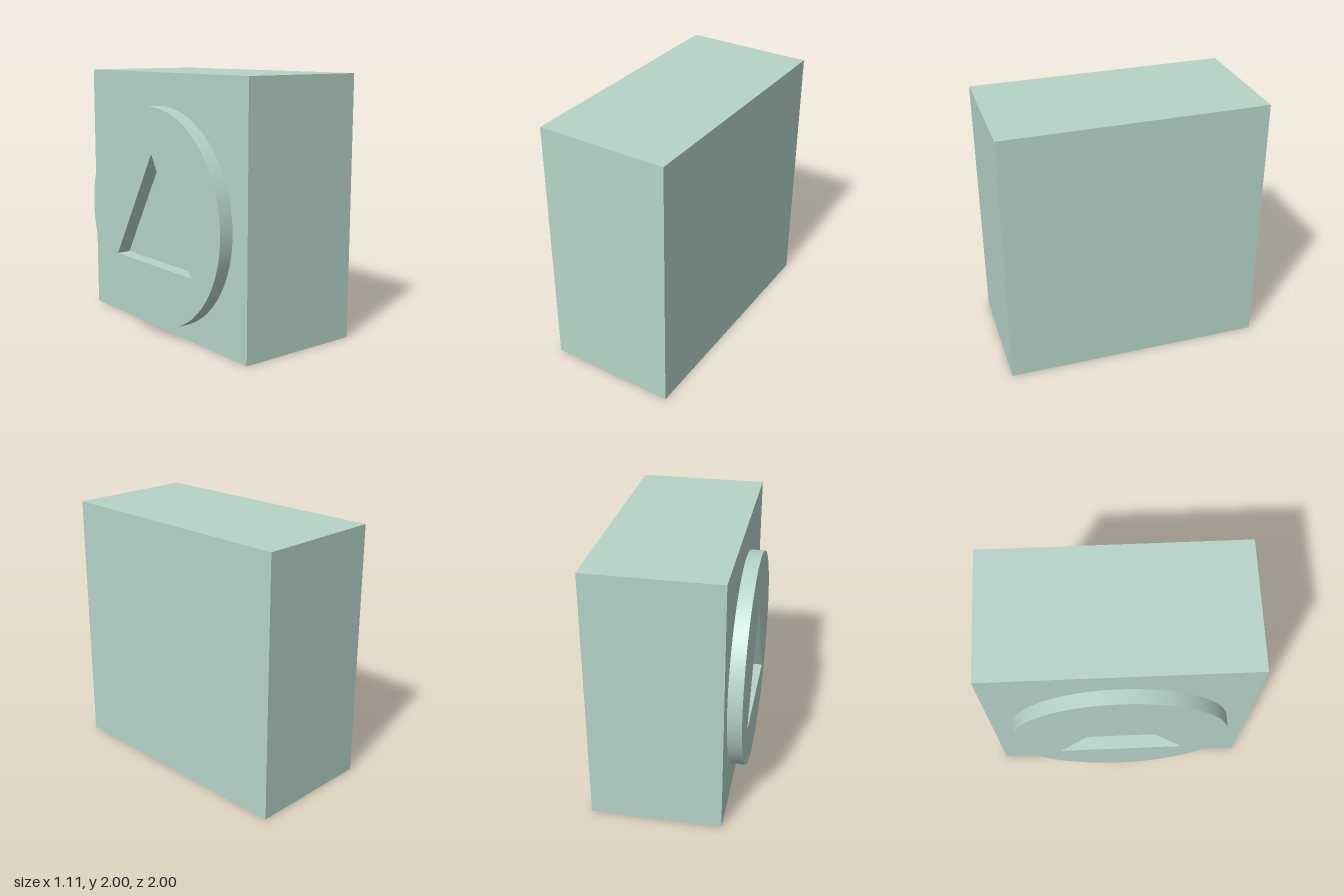
import * as THREE from 'three';
import { toCreasedNormals } from 'three/addons/utils/BufferGeometryUtils.js';

export function createModel() {
  const group = new THREE.Group();
  const material = new THREE.MeshStandardMaterial({ color: 0xb6d4c9 });
  const faceX = -0.445; // side of the block that carries the disc

  // Solid block
  const block = new THREE.Mesh(new THREE.BoxGeometry(1, 2, 2), material);
  block.name = 'block';
  block.position.set(faceX + 0.5, 1, 0);
  group.add(block);

  // Raised disc with a triangular cut-out, drawn as (z, y) and extruded along -x
  const shape = new THREE.Shape().absarc(-0.007, 0.905, 0.845, 0, Math.PI * 2, false);
  shape.holes.push(new THREE.Path([
    new THREE.Vector2(-0.49, 0.54),
    new THREE.Vector2(0.005, 1.395),
    new THREE.Vector2(0.5, 0.54),
    new THREE.Vector2(-0.49, 0.54),
  ]));
  const geometry = new THREE.ExtrudeGeometry(shape, { depth: 0.11, bevelEnabled: false, curveSegments: 64 });
  geometry.rotateY(-Math.PI / 2);
  const disc = new THREE.Mesh(toCreasedNormals(geometry, 0.5), material);
  disc.name = 'disc';
  disc.position.x = faceX;
  group.add(disc);

  return group;
}
